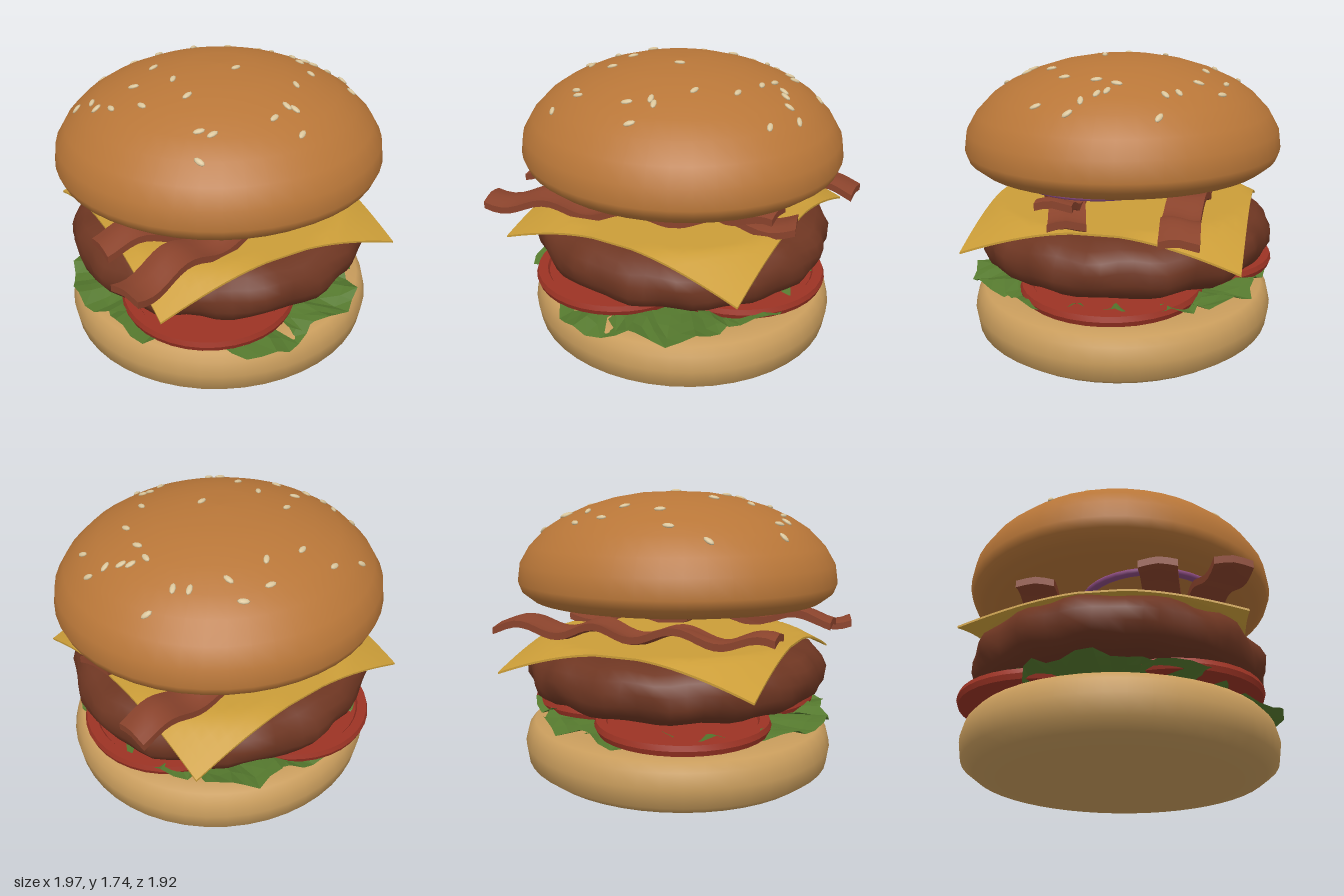
import * as THREE from 'three';
import { mergeVertices, toCreasedNormals } from 'three/addons/utils/BufferGeometryUtils.js';

const CX = 0.01, CZ = -0.02;
const V2 = (list) => list.map(([x, y]) => new THREE.Vector2(x, y));

function seeded(seed) {
  return () => ((seed = (seed * 16807) % 2147483647) / 2147483647);
}

function deform(geometry, rule) {
  const p = geometry.attributes.position, v = new THREE.Vector3();
  for (let i = 0; i < p.count; i++) {
    v.fromBufferAttribute(p, i);
    rule(v);
    p.setXYZ(i, v.x, v.y, v.z);
  }
  return geometry;
}

// Merge seams and recompute smooth normals
function smooth(geometry) {
  geometry.deleteAttribute('uv');
  geometry.deleteAttribute('normal');
  const merged = mergeVertices(geometry, 1e-4);
  merged.computeVertexNormals();
  return merged;
}

const TOP = [[0, 1.07], [0.78, 1.075], [0.9, 1.095], [0.965, 1.145], [0.986, 1.2], [0.97, 1.31], [0.91, 1.41],
  [0.81, 1.51], [0.7, 1.58], [0.55, 1.645], [0.38, 1.695], [0.2, 1.725], [0, 1.732]];
const BOTTOM = [[0, 0], [0.72, 0.003], [0.88, 0.035], [0.955, 0.09], [0.972, 0.2], [0.95, 0.285], [0.91, 0.33],
  [0.8, 0.35], [0, 0.352]];
const PATTY = [[0, 0.5], [0.4, 0.5], [0.7, 0.5], [0.82, 0.515], [0.89, 0.56], [0.92, 0.62], [0.925, 0.69],
  [0.9, 0.75], [0.85, 0.8], [0.75, 0.83], [0.4, 0.835], [0, 0.835]];
const TOMATO = [[0, -0.02], [0.98, -0.03], [1, 0], [0.98, 0.03], [0.87, 0.03], [0.85, 0.012], [0, 0.012]];

// Seed places as seen from above: x, z
const SEEDS = [[-0.6, -0.57], [-0.38, -0.62], [-0.24, -0.51], [-0.01, -0.53], [0.04, -0.67], [0.21, -0.7],
  [0.23, -0.57], [0.43, -0.53], [0.5, -0.48], [0.66, -0.51], [0.54, -0.22], [0.62, -0.2], [0.66, -0.16],
  [0.54, -0.1], [0.73, -0.1], [0.82, -0.07], [0.78, 0.14], [0.53, 0.1], [0.37, 0.27], [0.08, 0.07],
  [-0.35, -0.15], [-0.5, 0.01], [-0.29, 0.08], [-0.5, 0.23], [-0.26, 0.28], [-0.65, 0.12], [-0.72, 0.03],
  [-0.73, -0.07], [-0.81, -0.16], [-0.27, 0.55], [-0.21, 0.59], [-0.31, 0.7], [0.14, 0.55], [0.24, 0.47],
  [0.28, 0.49], [0.26, 0.65]];

export function createModel() {
  const group = new THREE.Group();
  const mat = (color, extra = {}) => new THREE.MeshStandardMaterial({ color, ...extra });
  const add = (name, geometry, material, parent = group) => {
    const mesh = new THREE.Mesh(geometry, material);
    mesh.name = name;
    parent.add(mesh);
    return mesh;
  };
  const addGroup = (name) => {
    const g = new THREE.Group();
    g.name = name;
    group.add(g);
    return g;
  };

  // Buns, slightly oval
  for (const [name, profile, color] of [['topBun', TOP, 0xb87638], ['bottomBun', BOTTOM, 0xc89c5c]]) {
    const bun = add(name, new THREE.LatheGeometry(V2(profile), 48), mat(color));
    bun.scale.z = 0.96;
    bun.position.set(CX, 0, CZ);
  }

  // Sesame seeds lying on the dome
  const seeds = addGroup('sesameSeeds');
  const seedGeometry = new THREE.SphereGeometry(1, 8, 6);
  const seedMaterial = mat(0xd8c49a);
  const random = seeded(77);
  const dome = TOP.slice(4);
  for (const [x, z] of SEEDS) {
    const dx = x - CX, dz = (z - CZ) / 0.96, r = Math.hypot(dx, dz);
    const i = Math.max(1, dome.findIndex(([pr]) => pr <= r));
    const [[r0, y0], [r1, y1]] = [dome[i - 1], dome[i]];
    const y = y0 + (y1 - y0) * (r - r0) / (r1 - r0);
    const slope = (y1 - y0) / (r0 - r1);
    const normal = new THREE.Vector3(dx / r * slope, 1, dz / r * slope).normalize();
    const seed = add('seed', seedGeometry, seedMaterial, seeds);
    seed.scale.set(0.034, 0.011, 0.017);
    seed.position.set(x, y + 0.004, z);
    seed.quaternion.setFromUnitVectors(new THREE.Vector3(0, 1, 0), normal);
    seed.rotateY(random() * Math.PI);
  }

  // Onion rings: x, y, z, radius, tilt
  const onions = addGroup('onionRings');
  for (const [x, y, z, r, tilt] of [[-0.185, 1.05, 0.24, 0.4, 0.015], [0.35, 1.057, -0.02, 0.42, 0]]) {
    const ring = add('onionRing', new THREE.TorusGeometry(r, 0.028, 8, 36), mat(0x8a4a80), onions);
    ring.scale.z = 0.7;
    ring.rotation.set(Math.PI / 2, tilt, 0);
    ring.position.set(x, y, z);
  }

  // Wavy bacon strips: start x, z, end x, z, height, phase
  const bacon = addGroup('bacon');
  const strips = [[-0.83, -0.22, 0.855, -0.7, 0.925, 0.6], [-0.76, 0.865, 0.85, -0.07, 0.905, 3.4],
    [-0.82, 0.48, 0.8, 0.04, 0.965, 5.2]];
  for (const [x0, z0, x1, z1, y, phase] of strips) {
    const length = Math.hypot(x1 - x0, z1 - z0);
    const strip = deform(new THREE.BoxGeometry(length, 0.042, 0.21, 36, 1, 4), (v) => {
      const t = v.x / length + 0.5;
      v.y += 0.034 * Math.sin(t * 22 + phase) + 0.012 * Math.cos(v.z * 24 + t * 6);
      v.z += 0.025 * Math.sin(t * Math.PI) * Math.sin(t * 9 + phase);
    });
    const mesh = add('baconStrip', toCreasedNormals(strip, 0.7), mat(0x8a432c), bacon);
    mesh.position.set((x0 + x1) / 2, y, (z0 + z1) / 2);
    mesh.rotation.y = -Math.atan2(z1 - z0, x1 - x0);
  }

  // Cheese slice with drooping corners
  const slice = new THREE.BoxGeometry(1.56, 0.012, 1.56, 24, 1, 24);
  deform(slice, (v) => {
    v.y -= Math.max(0, Math.hypot(v.x, v.z) - 0.79) * 0.53;
  });
  const cheese = add('cheeseSlice', toCreasedNormals(slice, 0.7), mat(0xcb9d38));
  cheese.position.set(CX, 0.86, -0.03);
  cheese.rotation.y = 0.215;

  // Lumpy meat patty
  const pattyGeometry = deform(new THREE.LatheGeometry(V2(PATTY), 64), (v) => {
    const a = Math.atan2(v.z, v.x), r = Math.hypot(v.x, v.z);
    const side = THREE.MathUtils.smoothstep(r, 0.3, 0.9);
    const k = 1 + side * (0.012 * Math.sin(a * 11 + v.y * 14) + 0.01 * Math.sin(a * 17 - v.y * 9));
    v.x *= k;
    v.z *= k * 0.965;
    v.y += side * 0.009 * Math.sin(a * 13 + r * 8);
  });
  add('patty', smooth(pattyGeometry), mat(0x6e3622)).position.set(CX, 0, -0.03);

  // Tomato slices with a raised rim: x, y, z, radius
  const tomatoes = addGroup('tomatoSlices');
  for (const [x, y, z, r] of [[0.4, 0.43, -0.12, 0.54], [-0.17, 0.42, 0.35, 0.53], [-0.3, 0.425, -0.38, 0.51]]) {
    const geometry = new THREE.LatheGeometry(V2(TOMATO.map(([a, b]) => [a * r, b])), 36);
    const tomato = add('tomatoSlice', toCreasedNormals(geometry, 0.6), mat(0x9c3324), tomatoes);
    tomato.position.set(x, y, z);
  }

  // Ragged lettuce leaves around the edge: angle, height, reach, rise of the tip
  const lettuce = addGroup('lettuce');
  const green = mat(0x55792e, { flatShading: true, side: THREE.DoubleSide });
  const leaves = [[0.25, 0.37, 0.92, 0.06], [0.92, 0.38, 0.98, 0.02], [1.52, 0.36, 0.98, -0.01], [2.42, 0.37, 0.97, 0.03],
    [3.03, 0.4, 1.01, 0.01], [3.75, 0.37, 0.91, 0.07], [4.4, 0.38, 0.92, 0.02], [5.0, 0.37, 0.93, 0.05],
    [5.65, 0.39, 0.91, 0.05]];
  for (const [angle, y, reach, rise] of leaves) {
    const leaf = deform(new THREE.PlaneGeometry(1, 1, 7, 10).rotateX(-Math.PI / 2), (v) => {
      const t = v.x + 0.5, s = v.z * 2;
      const edge = 1 - 0.15 * s * s - 0.045 * random() * t;
      const a = s * 0.44, r = (0.25 + (reach - 0.25) * t) * edge;
      const ruffle = t * t * (0.03 * Math.sin(s * 8 + angle * 5) + 0.025 * (random() - 0.5));
      v.set(r * Math.cos(a), THREE.MathUtils.clamp(rise * t * t + ruffle, -0.035, 0.11), r * Math.sin(a));
    });
    const mesh = add('lettuceLeaf', leaf, green, lettuce);
    mesh.position.set(CX, y, CZ);
    mesh.rotation.y = -angle;
  }

  return group;
}
